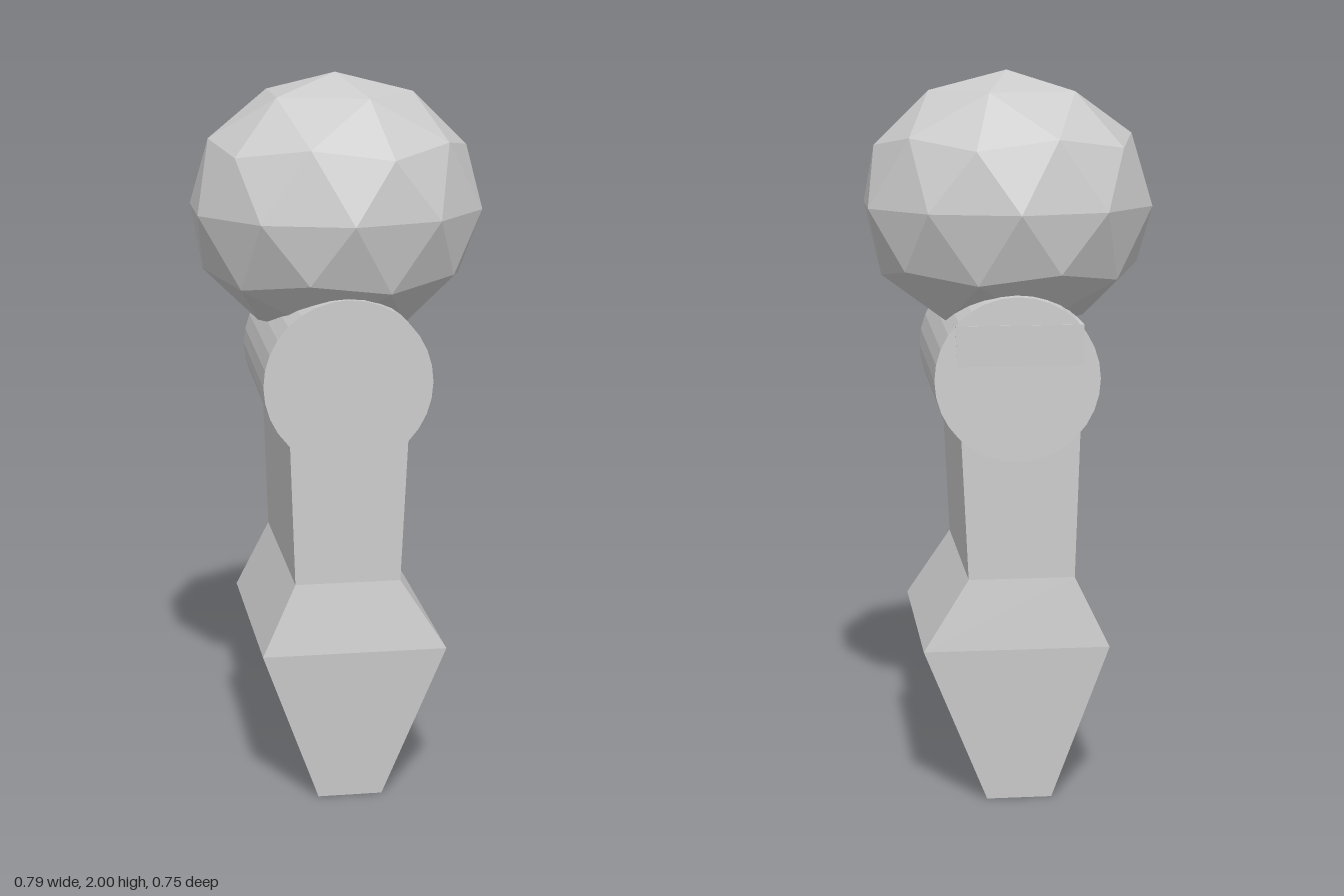
import * as THREE from 'three';

const material = new THREE.MeshStandardMaterial({ color: 0xcccccc, flatShading: true });

// Moves every vertex of a geometry with rule(v) and bakes flat normals.
function reshape(geometry, rule) {
  const flat = geometry.index ? geometry.toNonIndexed() : geometry;
  const pos = flat.attributes.position;
  const v = new THREE.Vector3();
  for (let i = 0; i < pos.count; i++) {
    rule(v.fromBufferAttribute(pos, i));
    pos.setXYZ(i, v.x, v.y, v.z);
  }
  flat.computeVertexNormals();
  return flat;
}

function part(name, geometry) {
  const mesh = new THREE.Mesh(geometry, material);
  mesh.name = name;
  return mesh;
}

// Post: rectangular sections stacked upwards, [y, left x, right x, back z, front z]
function createPost() {
  const sections = [
    [0, -0.092, 0.088, -0.305, 0.297],
    [0.435, -0.25, 0.264, -0.329, 0.329],
    [0.63, -0.155, 0.138, -0.306, 0.297],
    [1.33, -0.178, 0.172, -0.306, 0.297],
  ];
  const levels = sections.length - 1;
  return reshape(new THREE.BoxGeometry(1, 1, 1, 1, levels, 1), (v) => {
    const [y, x0, x1, z0, z1] = sections[Math.round((v.y + 0.5) * levels)];
    v.set(v.x < 0 ? x0 : x1, y, v.z < 0 ? z0 : z1);
  });
}

// Crossbar: a drum along z whose back end sits slightly lower and leans
function createCrossbar() {
  const drum = new THREE.CylinderGeometry(1, 1, 2, 32).rotateX(Math.PI / 2);
  return reshape(drum, (v) => {
    if (v.z > 0) v.set(v.x * 0.232 - 0.008, v.y * 0.232 + 1.192, 0.303);
    else v.set(v.x * 0.226 + 0.003, v.y * 0.224 + 1.182, -0.307 + v.y * 0.006);
  });
}

// Ball: low-poly sphere with a vertex at the pole, a little wider in x
function createBall() {
  const golden = (1 + Math.sqrt(5)) / 2;
  return new THREE.IcosahedronGeometry(1, 1)
    .rotateZ(-Math.atan(1 / golden))
    .scale(0.413, 0.37, 0.373)
    .translate(0, 1.63, 0);
}

export function createModel() {
  const group = new THREE.Group();
  group.name = 'ballOnPost';
  group.add(
    part('post', createPost()),
    part('crossbar', createCrossbar()),
    part('ball', createBall()),
  );
  return group;
}
